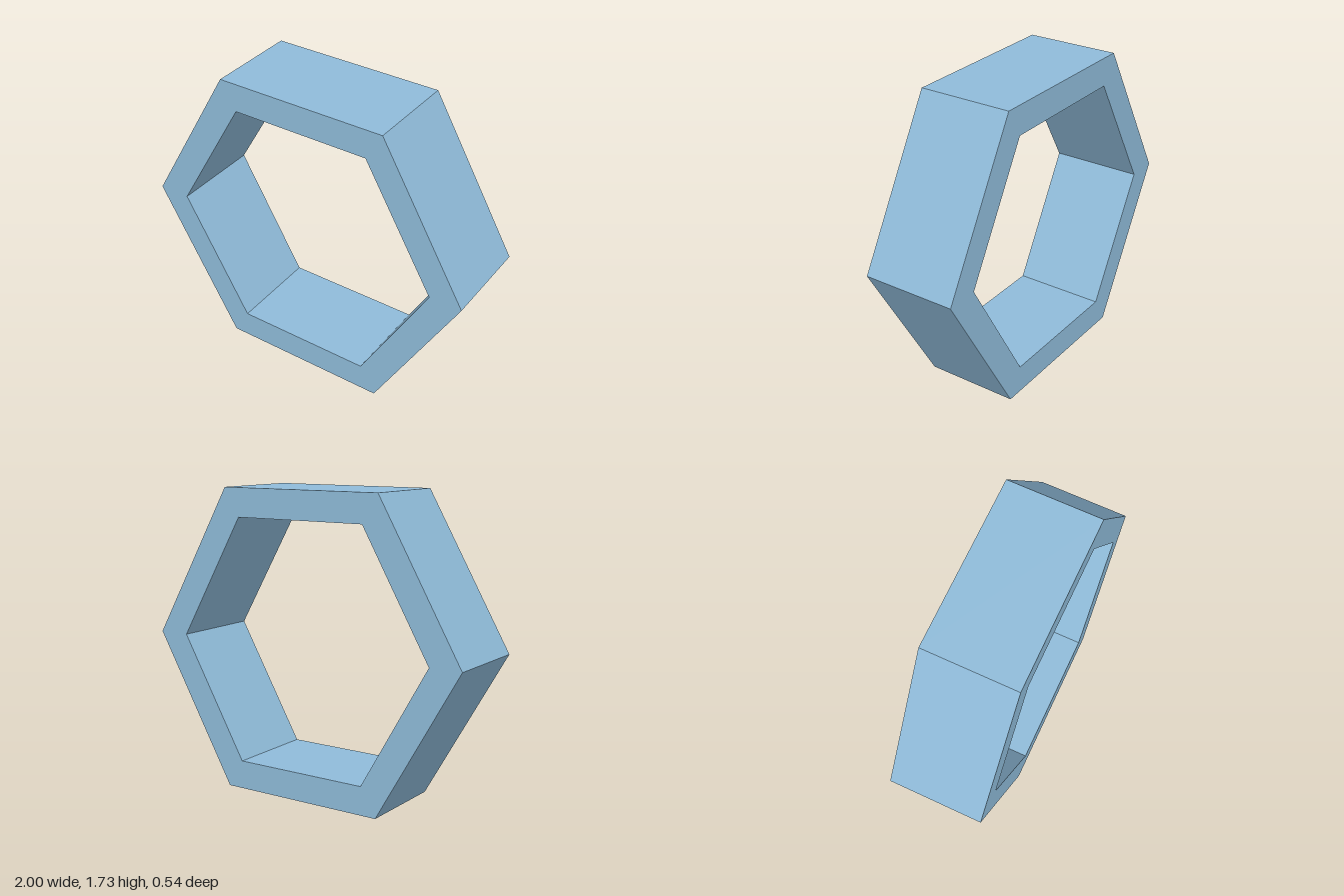
import * as THREE from 'three';

// Regular hexagon with corners on the left and right
function hexagon(path, radius) {
  const points = [];
  for (let i = 0; i < 6; i++) {
    const a = (i * Math.PI) / 3;
    points.push(new THREE.Vector2(radius * Math.cos(a), radius * Math.sin(a)));
  }
  path.setFromPoints(points);
  path.closePath();
  return path;
}

export function createModel() {
  const outerRadius = 1, innerRadius = 0.811, depth = 0.54;

  // Hexagonal frame, open front to back
  const shape = hexagon(new THREE.Shape(), outerRadius);
  shape.holes.push(hexagon(new THREE.Path(), innerRadius));
  const geometry = new THREE.ExtrudeGeometry(shape, { depth, bevelEnabled: false });
  geometry.translate(0, outerRadius * Math.sin(Math.PI / 3), -depth / 2);

  const material = new THREE.MeshStandardMaterial({ color: 0x8fbbd9, flatShading: true });
  const frame = new THREE.Mesh(geometry, material);
  frame.name = 'hexagonFrame';

  const model = new THREE.Group();
  model.name = 'hexagonShelf';
  model.add(frame);
  return model;
}
